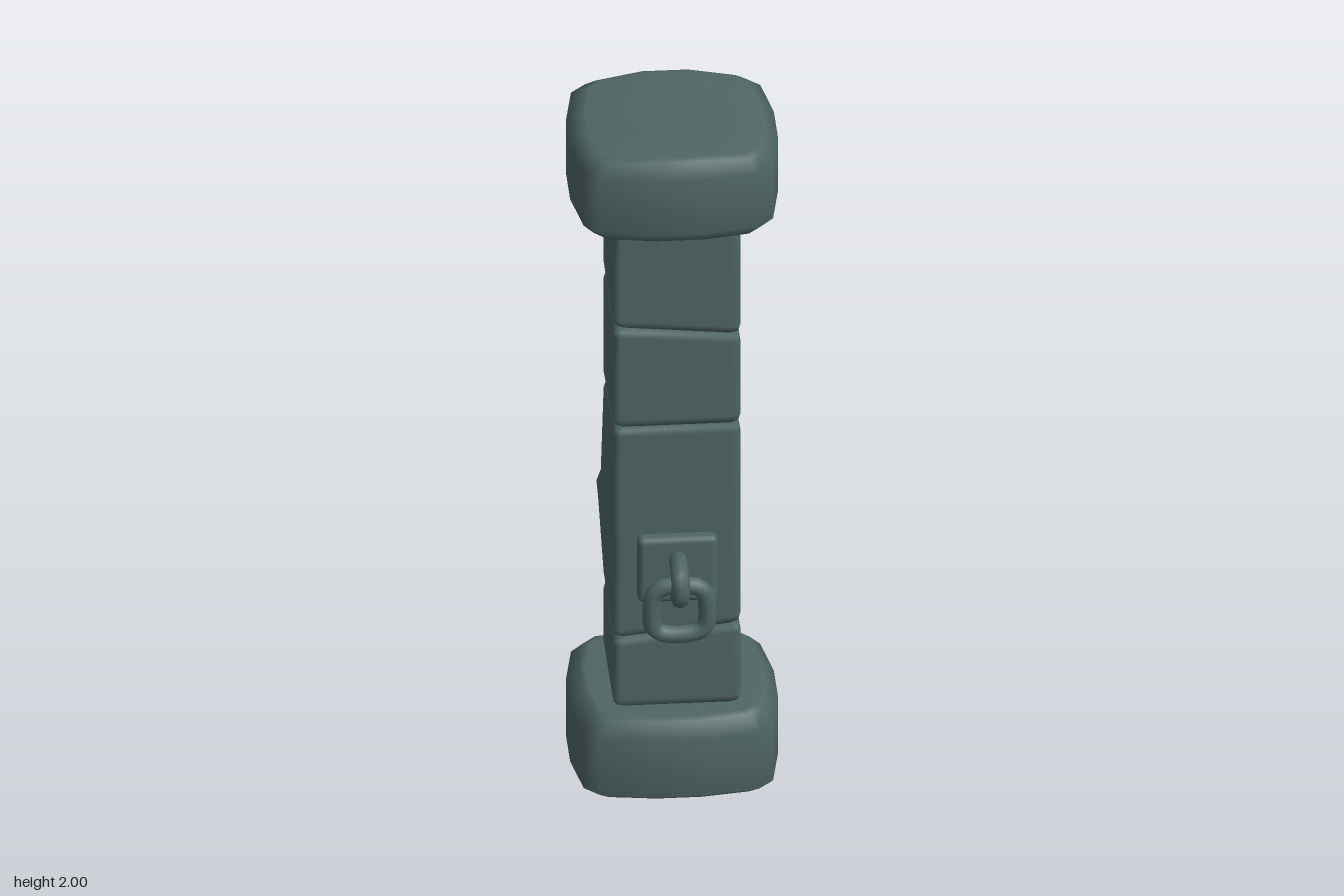
import * as THREE from 'three';
import { RoundedBoxGeometry } from 'three/addons/geometries/RoundedBoxGeometry.js';

const ZC = -0.02; // centre line of the pillar

// Repeats one corner of an outline four times around the axis
function outline(corner) {
  const pts = [];
  for (let q = 0; q < 4; q++) {
    for (let [x, z] of corner) {
      for (let i = 0; i < q; i++) [x, z] = [z, -x];
      pts.push([x, z]);
    }
  }
  return pts;
}

// Skins a closed solid through rings ordered from bottom to top
function loft(rings) {
  const n = rings[0].length, pos = rings.flat(2), idx = [];
  for (let i = 0; i < rings.length - 1; i++) {
    for (let j = 0; j < n; j++) {
      const k = (j + 1) % n, a = i * n + j, b = i * n + k;
      idx.push(a, b, b + n, a, b + n, a + n);
    }
  }
  const addCap = (ring, base, up) => {
    const c = pos.length / 3;
    for (let a = 0; a < 3; a++) pos.push(ring.reduce((s, p) => s + p[a], 0) / n);
    for (let j = 0; j < n; j++) {
      const k = (j + 1) % n;
      if (up) idx.push(c, base + j, base + k);
      else idx.push(c, base + k, base + j);
    }
  };
  addCap(rings[0], 0, false);
  addCap(rings[rings.length - 1], (rings.length - 1) * n, true);
  const g = new THREE.BufferGeometry();
  g.setAttribute('position', new THREE.Float32BufferAttribute(pos, 3));
  g.setIndex(idx);
  g.computeVertexNormals();
  return g;
}

const SLAB = outline([[0.28, -0.07], [0.255, -0.215], [0.215, -0.255], [0.07, -0.28]]);
const SHAFT = outline([[0.172, -0.152], [0.167, -0.167], [0.152, -0.172]]);

// Ring of an outline, scaled, with its height given by a rule y(x, z)
const ring = (shape, s, y) => shape.map(([x, z]) => [x * s, y(x * s, z * s), z * s + ZC]);

// Worn slab with bevelled rims and slightly domed faces
function slab(bottom, top) {
  return loft([
    ring(SLAB, 0.35, bottom),
    ring(SLAB, 0.82, bottom),
    ring(SLAB, 0.88, (x, z) => bottom(x, z) + 0.006),
    ring(SLAB, 1, () => bottom(0, 0) + 0.045),
    ring(SLAB, 1, () => top(0, 0) - 0.045),
    ring(SLAB, 0.88, (x, z) => top(x, z) - 0.006),
    ring(SLAB, 0.82, top),
    ring(SLAB, 0.35, top),
  ]);
}

// Shaft stone between two sloping joints; swell lists [height, bulge] at one corner
function stone(bottom, top, swell = []) {
  const bulged = swell.map(([y, d]) => ring(SHAFT, 1, () => y).map(([x, h, z]) =>
    x < 0 && z < ZC ? [x - d, h, z - d] : [x, h, z]));
  return loft([
    ring(SHAFT, 0.92, bottom),
    ring(SHAFT, 0.98, (x, z) => bottom(x, z) + 0.01),
    ring(SHAFT, 1, (x, z) => bottom(x, z) + 0.025),
    ...bulged,
    ring(SHAFT, 1, (x, z) => top(x, z) - 0.025),
    ring(SHAFT, 0.98, (x, z) => top(x, z) - 0.01),
    ring(SHAFT, 0.92, top),
  ]);
}

export function createModel() {
  const group = new THREE.Group();
  const slate = new THREE.MeshStandardMaterial({ color: 0x4f6664 });
  slate.name = 'slate';
  const add = (name, geometry) => {
    const mesh = new THREE.Mesh(geometry, slate);
    mesh.name = name;
    group.add(mesh);
    return mesh;
  };
  const flat = (y) => () => y;
  const droop = (v) => 0.015 * Math.max(0, Math.abs(v) - 0.07) / 0.17;

  // Base and capital
  add('base', slab((x, z) => droop(z), flat(0.265)));
  add('capital', slab(flat(1.745), (x) => 2 - droop(x)));

  // Shaft stones
  const joints = [
    flat(0.262),
    (x) => 0.493 + 0.1 * x,
    (x, z) => 1.113 + 0.1 * z,
    (x) => 1.422 - 0.1 * x,
    flat(1.748),
  ];
  const swell = [[0.73, 0.014], [0.775, 0.018], [0.815, 0.007]];
  for (let i = 0; i < 4; i++) {
    add('shaftStone' + (i + 1), stone(joints[i], joints[i + 1], i === 1 ? swell : []));
  }

  // Wall plate
  add('wallPlate', new RoundedBoxGeometry(0.216, 0.2, 0.06, 3, 0.018)).position.set(0, 0.7, 0.153);

  // Staple standing out from the plate
  const staple = new THREE.CatmullRomCurve3([
    [0.16, 0.735], [0.235, 0.735], [0.268, 0.715], [0.272, 0.675], [0.245, 0.648], [0.16, 0.645],
  ].map(([z, y]) => new THREE.Vector3(0, y, z)));
  add('staple', new THREE.TubeGeometry(staple, 24, 0.025, 8));

  // Hanging ring
  const hoop = new THREE.CatmullRomCurve3([
    [0.045, 0.682], [0.068, 0.662], [0.075, 0.61], [0.07, 0.56], [0.045, 0.541],
    [-0.045, 0.541], [-0.07, 0.56], [-0.075, 0.61], [-0.068, 0.662], [-0.045, 0.682],
  ].map(([x, y]) => new THREE.Vector3(x, y, 0.237)), true);
  add('ring', new THREE.TubeGeometry(hoop, 40, 0.025, 8, true));

  return group;
}
